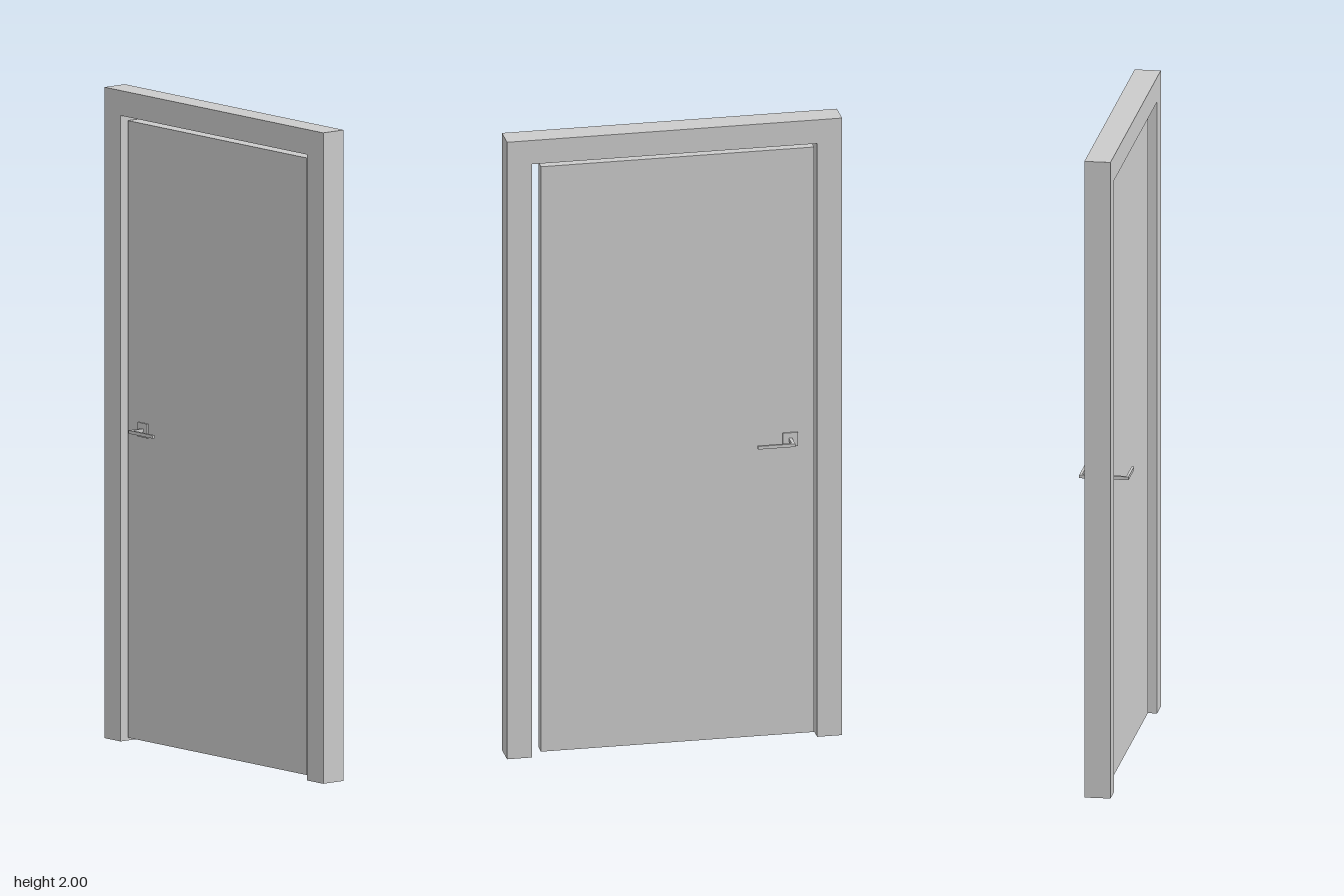
import * as THREE from 'three';

const material = new THREE.MeshStandardMaterial({ color: 0xcccccc, flatShading: true });
const frameMaterial = new THREE.MeshStandardMaterial({ color: 0xcccccc, flatShading: true, side: THREE.DoubleSide });

// Box given by its minimum and maximum corners
function box(name, [x0, y0, z0], [x1, y1, z1]) {
  const mesh = new THREE.Mesh(new THREE.BoxGeometry(x1 - x0, y1 - y0, z1 - z0), material);
  mesh.name = name;
  mesh.position.set((x0 + x1) / 2, (y0 + y1) / 2, (z0 + z1) / 2);
  return mesh;
}

// Rectangular section swept up, across and down with mitred corners, open at the feet
function frameGeometry(halfWidth, height, face, zBack, zFront) {
  const inner = halfWidth - face;
  const section = [[0, zFront], [0, zBack], [1, zBack], [1, zFront]];
  const stations = [[-1, 0], [-1, 1], [1, 1], [1, 0]];
  const points = [];
  for (const [side, top] of stations) {
    for (const [outer, z] of section) {
      points.push(side * (outer ? halfWidth : inner), top * (outer ? height : height - face), z);
    }
  }
  const index = [];
  for (let i = 0; i < 3; i++) {
    for (let j = 0; j < 4; j++) {
      const a = i * 4 + j, b = i * 4 + (j + 1) % 4;
      index.push(a, b, a + 4, b, b + 4, a + 4);
    }
  }
  const geometry = new THREE.BufferGeometry();
  geometry.setAttribute('position', new THREE.Float32BufferAttribute(points, 3));
  geometry.setIndex(index);
  const flat = geometry.toNonIndexed();
  flat.computeVertexNormals();
  return flat;
}

// Square rose, spindle and lever on one face of the door
function handle(name, side, doorFace) {
  const group = new THREE.Group();
  group.name = name;
  const x = -0.36, y = 0.965, tip = 0.0755;
  const part = (label, x0, x1, halfHeight, za, zb) => group.add(box(label,
    [x0, y - halfHeight, Math.min(side * za, side * zb)],
    [x1, y + halfHeight, Math.max(side * za, side * zb)]));
  part('rose', x - 0.023, x + 0.023, 0.022, doorFace, doorFace + 0.005);
  part('spindle', x - 0.005, x + 0.005, 0.005, doorFace, tip - 0.008);
  part('lever', x - 0.005, -0.25, 0.005, tip - 0.008, tip);
  return group;
}

export function createModel() {
  const model = new THREE.Group();
  model.name = 'door';

  const frame = new THREE.Mesh(frameGeometry(0.517, 2, 0.077, -0.037, 0.043), frameMaterial);
  frame.name = 'doorFrame';
  model.add(frame);

  // Panel set back from both faces of the frame
  const doorFace = 0.02;
  model.add(box('doorPanel', [-0.434, 0.01, -doorFace], [0.409, 1.906, doorFace]));

  model.add(handle('frontHandle', 1, doorFace), handle('backHandle', -1, doorFace));
  return model;
}
